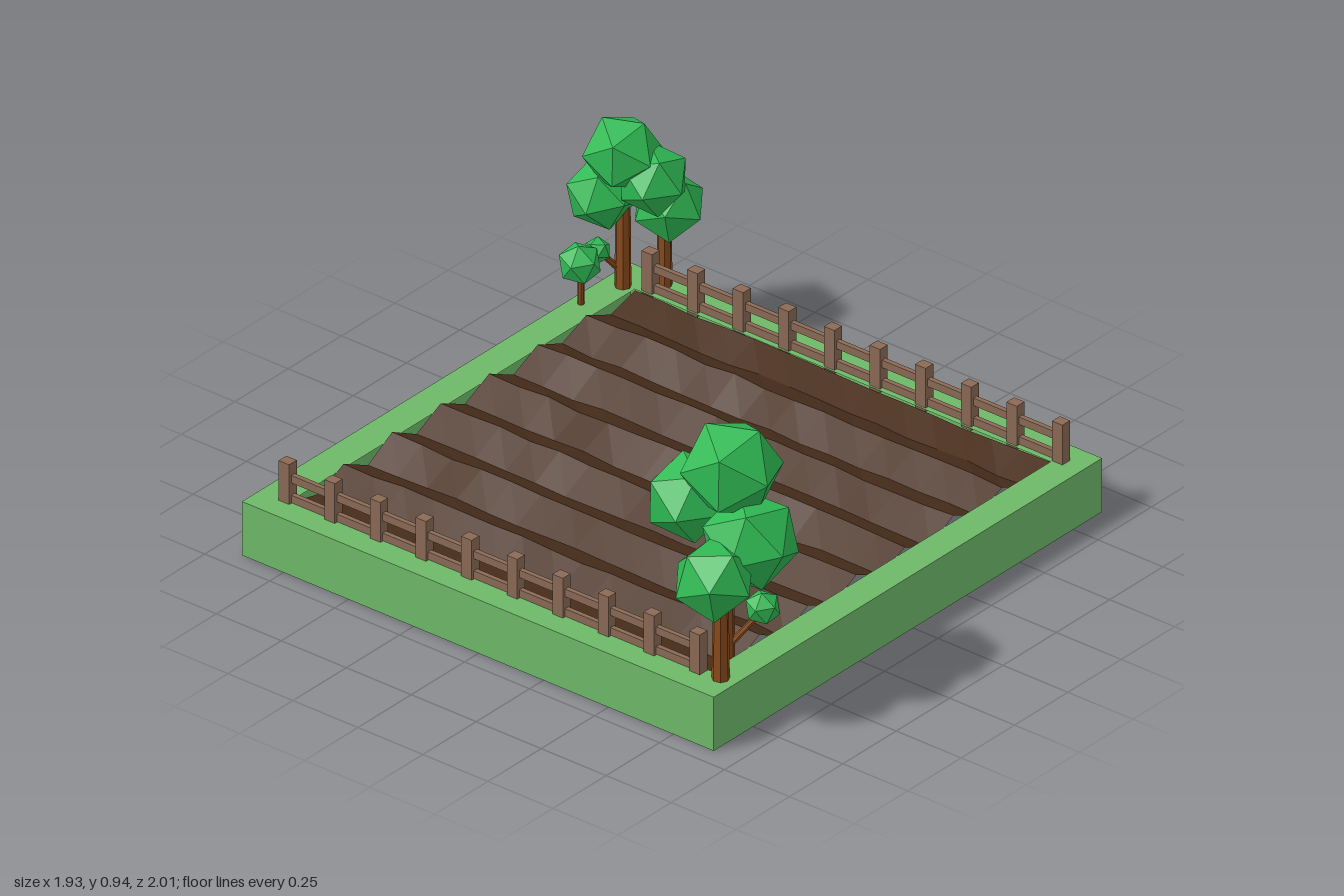
import * as THREE from 'three';

const material = (color) => new THREE.MeshStandardMaterial({ color, flatShading: true, side: THREE.DoubleSide });
const GRASS = material(0x6eb868);
const SOIL = material(0x4a2f1c);
const FENCE = material(0x8a6a55);
const BARK = material(0x8a4b1c);
const LEAF = material(0x2fb953);

const TOP = 0.185;
const OUT = { x0: -0.935, x1: 0.885, z0: -0.91, z1: 0.905 };
const BED = { x0: -0.82, x1: 0.772, z0: -0.8, z1: 0.8 };

function add(parent, name, geometry, mat, x = 0, y = 0, z = 0) {
  const mesh = new THREE.Mesh(geometry, mat);
  mesh.name = name;
  mesh.position.set(x, y, z);
  parent.add(mesh);
  return mesh;
}

function seeded(seed) {
  return () => {
    seed = (seed * 16807) % 2147483647;
    return seed / 2147483647;
  };
}

// Rectangle outline in shape space, where shape y becomes -z
const corners = (r) => [[r.x0, -r.z1], [r.x1, -r.z1], [r.x1, -r.z0], [r.x0, -r.z0]].map(([x, y]) => new THREE.Vector2(x, y));

// Hollow grass frame: flat border around the bed and four outer walls, open below
function grassFrame() {
  const group = new THREE.Group();
  group.name = 'grassFrame';
  const shape = new THREE.Shape(corners(OUT));
  shape.holes.push(new THREE.Path(corners(BED)));
  add(group, 'grassBorder', new THREE.ShapeGeometry(shape).rotateX(-Math.PI / 2), GRASS, 0, TOP, 0);

  const w = OUT.x1 - OUT.x0, d = OUT.z1 - OUT.z0;
  const cx = (OUT.x0 + OUT.x1) / 2, cz = (OUT.z0 + OUT.z1) / 2;
  for (const [name, length, x, z, turn] of [
    ['frontWall', w, cx, OUT.z1, 0],
    ['backWall', w, cx, OUT.z0, Math.PI],
    ['leftWall', d, OUT.x1, cz, Math.PI / 2],
    ['rightWall', d, OUT.x0, cz, -Math.PI / 2],
  ]) {
    add(group, name, new THREE.PlaneGeometry(length, TOP), GRASS, x, TOP / 2, z).rotation.y = turn;
  }
  return group;
}

// Ploughed soil: ridges run front to back on every second grid column
function ploughedSoil() {
  const columns = 14;
  const rand = seeded(11);
  const geo = new THREE.PlaneGeometry(BED.x1 - BED.x0, BED.z1 - BED.z0, columns, 14).rotateX(-Math.PI / 2);
  const pos = geo.attributes.position;
  for (let i = 0; i < pos.count; i++) {
    const column = i % (columns + 1);
    const border = column === 0 || column === columns;
    const ridge = column % 2 === 0 ? 0.018 : -0.035;
    pos.setY(i, (border ? -0.005 : ridge) + (rand() - 0.5) * 0.012);
  }
  const mesh = new THREE.Mesh(geo, SOIL);
  mesh.name = 'ploughedSoil';
  mesh.position.set((BED.x0 + BED.x1) / 2, TOP, (BED.z0 + BED.z1) / 2);
  return mesh;
}

// Row of posts joined by two rails
function fence(name, x, firstZ) {
  const group = new THREE.Group();
  group.name = name;
  const posts = 10, step = 0.1755;
  for (let i = 0; i < posts; i++) {
    add(group, 'fencePost', new THREE.BoxGeometry(0.036, 0.15, 0.04), FENCE, x, 0.247, firstZ + i * step);
  }
  const length = (posts - 1) * step;
  for (const y of [0.2, 0.268]) {
    add(group, 'fenceRail', new THREE.BoxGeometry(0.016, 0.026, length), FENCE, x, y, firstZ + length / 2);
  }
  return group;
}

// Tapered stem between two points
function stem(parent, name, from, to, radius) {
  const a = new THREE.Vector3(...from), b = new THREE.Vector3(...to);
  const dir = b.clone().sub(a);
  const mesh = add(parent, name, new THREE.CylinderGeometry(radius * 0.85, radius, dir.length(), 7), BARK);
  mesh.position.copy(a).add(b).multiplyScalar(0.5);
  mesh.quaternion.setFromUnitVectors(new THREE.Vector3(0, 1, 0), dir.normalize());
}

// Clump of trees from lists of trunks, branches and faceted leaf crowns
function treeClump(name, { trunks, branches, crowns }) {
  const group = new THREE.Group();
  group.name = name;
  for (const [x, z, top, r] of trunks) stem(group, 'trunk', [x, TOP - 0.01, z], [x, top, z], r);
  for (const [from, to] of branches) stem(group, 'branch', from, to, 0.011);
  crowns.forEach(([x, y, z, r], i) => {
    const crown = add(group, 'leafCrown', new THREE.IcosahedronGeometry(r, 0), LEAF, x, y, z);
    crown.rotation.set(0.5 + i * 0.9, i * 1.3, 0.3 + i * 0.5);
  });
  return group;
}

export function createModel() {
  const model = new THREE.Group();
  model.name = 'farmPlot';
  model.add(grassFrame(), ploughedSoil());
  model.add(fence('rightFence', -0.842, -0.81), fence('leftFence', 0.797, -0.76));

  model.add(treeClump('frontTrees', {
    trunks: [[-0.715, 0.77, 0.72, 0.029], [-0.835, 0.85, 0.5, 0.028]],
    branches: [
      [[-0.71, 0.23, 0.79], [-0.65, 0.34, 0.86]],
      [[-0.715, 0.36, 0.76], [-0.7, 0.45, 0.68]],
    ],
    crowns: [
      [-0.68, 0.808, 0.765, 0.16],
      [-0.71, 0.67, 0.625, 0.14],
      [-0.855, 0.53, 0.84, 0.13],
      [-0.695, 0.6, 0.85, 0.155],
      [-0.65, 0.35, 0.86, 0.056],
      [-0.7, 0.46, 0.675, 0.05],
    ],
  }));

  model.add(treeClump('backTrees', {
    trunks: [[0.765, -0.84, 0.62, 0.026], [0.85, -0.75, 0.42, 0.025], [0.605, -0.87, 0.31, 0.011]],
    branches: [[[0.76, 0.24, -0.845], [0.7, 0.32, -0.88]]],
    crowns: [
      [0.745, 0.66, -0.825, 0.125],
      [0.78, 0.585, -0.735, 0.115],
      [0.865, 0.455, -0.745, 0.115],
      [0.73, 0.5, -0.895, 0.112],
      [0.602, 0.325, -0.872, 0.068],
      [0.7, 0.32, -0.885, 0.042],
    ],
  }));
  return model;
}
